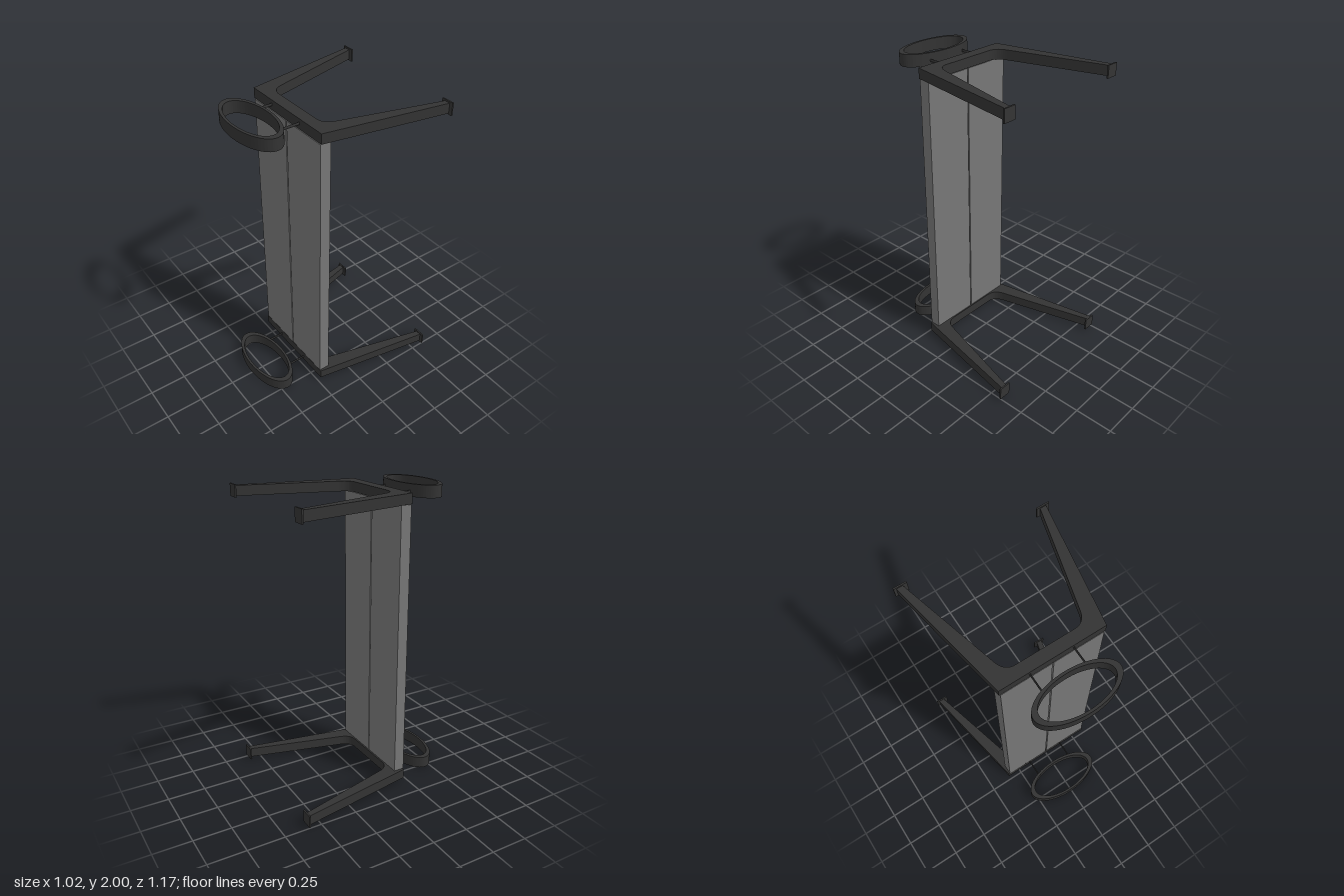
import * as THREE from 'three';

const dark = new THREE.MeshStandardMaterial({ color: 0x333333 });
const grey = new THREE.MeshStandardMaterial({ color: 0x777777 });

function add(parent, name, geometry, material, x, y, z) {
  const mesh = new THREE.Mesh(geometry, material);
  mesh.name = name;
  mesh.position.set(x, y, z);
  parent.add(mesh);
  return mesh;
}

// Extrudes a plan drawn in (x, -z) upwards, centred on y = 0
function extrudePlan(shape, height, curveSegments) {
  const geometry = new THREE.ExtrudeGeometry(shape, { depth: height, bevelEnabled: false, curveSegments });
  return geometry.translate(0, 0, -height / 2).rotateX(-Math.PI / 2);
}

// U-shaped frame: tapered splayed legs joined by a crossbar with rounded inner corners
function frameGeometry() {
  const s = new THREE.Shape();
  s.moveTo(-0.343, -0.227);
  s.lineTo(0.343, -0.227);
  s.lineTo(0.49, 0.58);
  s.lineTo(0.45, 0.58);
  s.lineTo(0.274, -0.075);
  s.quadraticCurveTo(0.254, -0.15, 0.187, -0.15);
  s.lineTo(-0.187, -0.15);
  s.quadraticCurveTo(-0.254, -0.15, -0.274, -0.075);
  s.lineTo(-0.45, 0.58);
  s.lineTo(-0.49, 0.58);
  s.closePath();
  return extrudePlan(s, 0.066, 10);
}

// Flat elliptical armrest hoop
function hoopGeometry() {
  const s = new THREE.Shape();
  s.absellipse(0, 0, 0.273, 0.13, 0, Math.PI * 2, false);
  const hole = new THREE.Path();
  hole.absellipse(0, 0, 0.236, 0.114, 0, Math.PI * 2, true);
  s.holes.push(hole);
  return extrudePlan(s, 0.08, 32);
}

export function createModel() {
  const model = new THREE.Group();
  model.name = 'bench';

  // Two long boards with a narrow gap
  const board = new THREE.BoxGeometry(0.33, 1.82, 0.072);
  add(model, 'boardLeft', board, grey, 0.167, 1, 0.192);
  add(model, 'boardRight', board, grey, -0.172, 1, 0.192);

  // Mirrored end assemblies
  const frame = frameGeometry();
  const hoop = hoopGeometry();
  const foot = new THREE.BoxGeometry(0.084, 0.082, 0.01);
  const rod = new THREE.CylinderGeometry(0.009, 0.009, 0.125, 12).rotateX(Math.PI / 2).scale(0.55, 1, 1);
  for (const [label, level] of [['lower', (y) => y], ['upper', (y) => 2 - y]]) {
    const end = new THREE.Group();
    end.name = label + 'End';
    add(end, 'legFrame', frame, dark, -0.003, level(0.052), 0);
    add(end, 'armrestHoop', hoop, dark, -0.009, level(0.04), 0.457);
    for (const side of [-1, 1]) {
      add(end, 'footPlate', foot, dark, side * 0.467, level(0.051), -0.583);
      add(end, 'armrestRod', rod, dark, -0.011 + side * 0.14, level(0.049), 0.284);
    }
    model.add(end);
  }
  return model;
}
